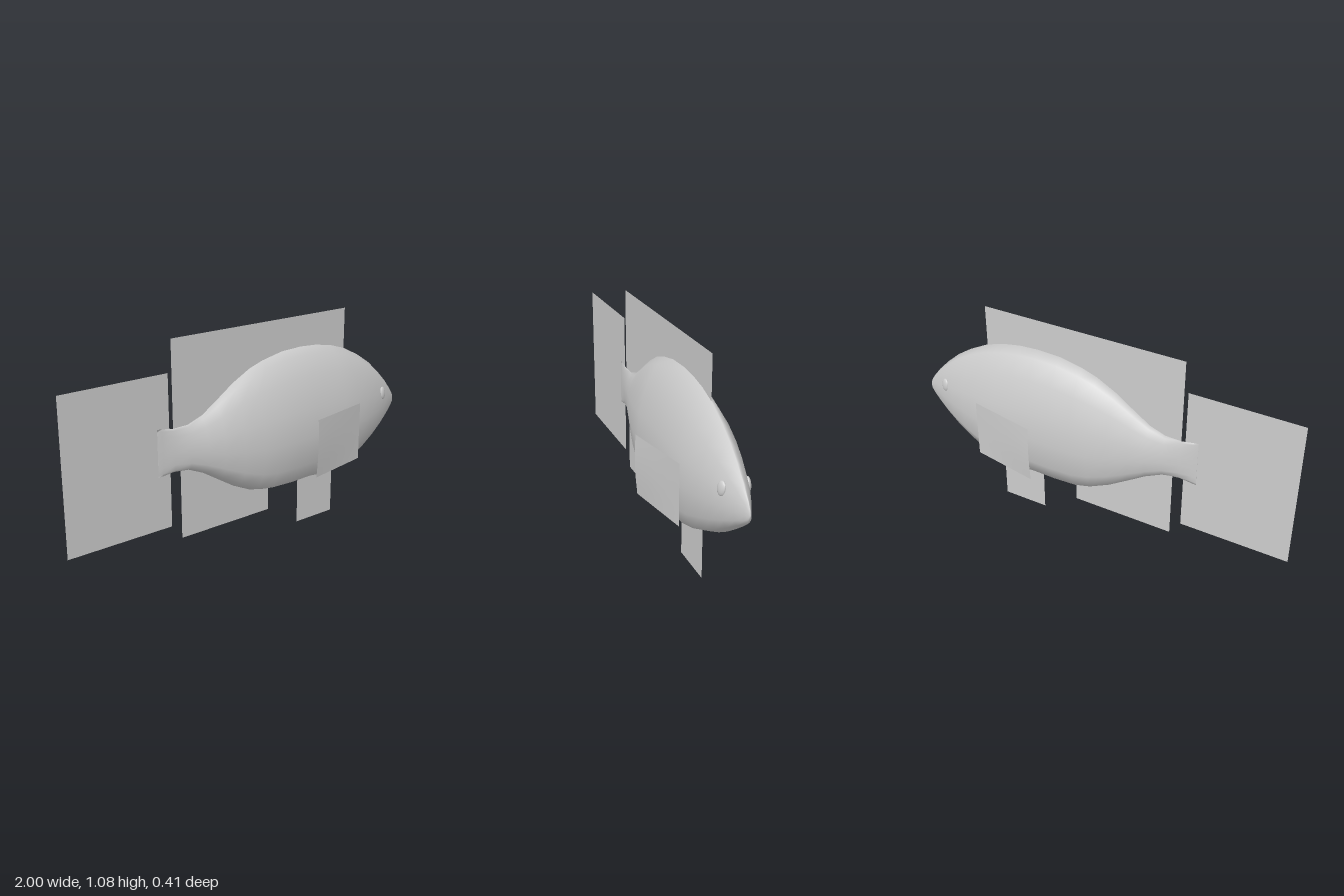
import * as THREE from 'three';

const grey = new THREE.MeshStandardMaterial({ color: 0xcccccc, side: THREE.DoubleSide });
grey.name = 'plain grey';

// Body stations from tail to nose: x, bottom, top, half width
const STATIONS = [
  [-0.525, 0.455, 0.683, 0.002], [-0.5, 0.458, 0.68, 0.005], [-0.44, 0.464, 0.67, 0.015],
  [-0.36, 0.455, 0.672, 0.032], [-0.28, 0.42, 0.7, 0.053], [-0.2, 0.37, 0.752, 0.075],
  [-0.1, 0.308, 0.82, 0.099], [0, 0.262, 0.872, 0.119], [0.08, 0.244, 0.898, 0.13],
  [0.2, 0.241, 0.922, 0.138], [0.32, 0.245, 0.927, 0.14], [0.42, 0.236, 0.921, 0.139],
  [0.52, 0.246, 0.904, 0.136], [0.62, 0.275, 0.873, 0.125], [0.72, 0.322, 0.822, 0.106],
  [0.8, 0.368, 0.77, 0.086], [0.87, 0.415, 0.71, 0.064], [0.93, 0.458, 0.65, 0.039],
  [0.975, 0.493, 0.595, 0.017], [0.994, 0.515, 0.565, 0.008], [1, 0.535, 0.545, 0.002],
];

// One side of the cross-section: share of height, share of half width
const SIDE = [[0, 0], [0.05, 0.6], [0.18, 0.91], [0.385, 1], [0.6, 0.93], [0.82, 0.62], [0.95, 0.25], [1, 0]];
const RING = [...SIDE, ...SIDE.slice(1, -1).reverse().map(([h, w]) => [h, -w])];

function bodyGeometry() {
  const positions = [], indices = [], n = RING.length;
  for (const [x, bottom, top, width] of STATIONS) {
    for (const [h, w] of RING) positions.push(x, bottom + h * (top - bottom), w * width);
  }
  for (let i = 0; i < STATIONS.length - 1; i++) {
    for (let j = 0; j < n; j++) {
      const a = i * n + j, b = i * n + (j + 1) % n;
      indices.push(a, a + n, b + n, a, b + n, b);
    }
  }
  // Close the tail and nose ends
  const last = (STATIONS.length - 1) * n;
  for (let j = 1; j < n - 1; j++) indices.push(0, j, j + 1, last, last + j + 1, last + j);
  const geometry = new THREE.BufferGeometry();
  geometry.setAttribute('position', new THREE.Float32BufferAttribute(positions, 3));
  geometry.setIndex(indices);
  geometry.computeVertexNormals();
  return geometry;
}

function addMesh(group, name, geometry) {
  const mesh = new THREE.Mesh(geometry, grey);
  mesh.name = name;
  group.add(mesh);
  return mesh;
}

// Flat rectangular fin on the centre plane
function addFin(group, name, x0, x1, y0, y1) {
  addMesh(group, name, new THREE.PlaneGeometry(x1 - x0, y1 - y0))
    .position.set((x0 + x1) / 2, (y0 + y1) / 2, 0);
}

// Side fin that flares outward toward the tail, with a slight bow
function pectoralGeometry(side) {
  const geometry = new THREE.PlaneGeometry(0.35, 0.295, 4, 4);
  geometry.translate(0.435, 0.4675, 0);
  const p = geometry.attributes.position;
  for (let i = 0; i < p.count; i++) {
    const back = (0.61 - p.getX(i)) / 0.35;
    const v = (p.getY(i) - 0.4675) / 0.1475;
    p.setZ(i, side * (0.136 + back * (0.071 + 0.003 * v - 0.007 * v * v)));
  }
  geometry.computeVertexNormals();
  return geometry;
}

export function createModel() {
  const fish = new THREE.Group();
  fish.name = 'fish';

  addMesh(fish, 'body', bodyGeometry());

  addFin(fish, 'tailFin', -1, -0.46, 0.2, 0.93);
  addFin(fish, 'dorsalFin', -0.44, 0.615, 0.64, 1.08);
  addFin(fish, 'analFin', -0.405, 0.12, 0.125, 0.47);
  addFin(fish, 'pelvicFin', 0.315, 0.555, 0, 0.27);

  for (const side of [1, -1]) {
    const label = side > 0 ? 'left' : 'right';
    addMesh(fish, label + 'PectoralFin', pectoralGeometry(side));

    // Flattened eye lying against the cheek
    const eye = addMesh(fish, label + 'Eye', new THREE.SphereGeometry(1, 12, 8));
    eye.scale.set(0.024, 0.033, 0.011);
    eye.position.set(0.857, 0.605, side * 0.059);
    eye.rotation.set(-side * 0.15, side * 0.3, 0);
  }
  return fish;
}
